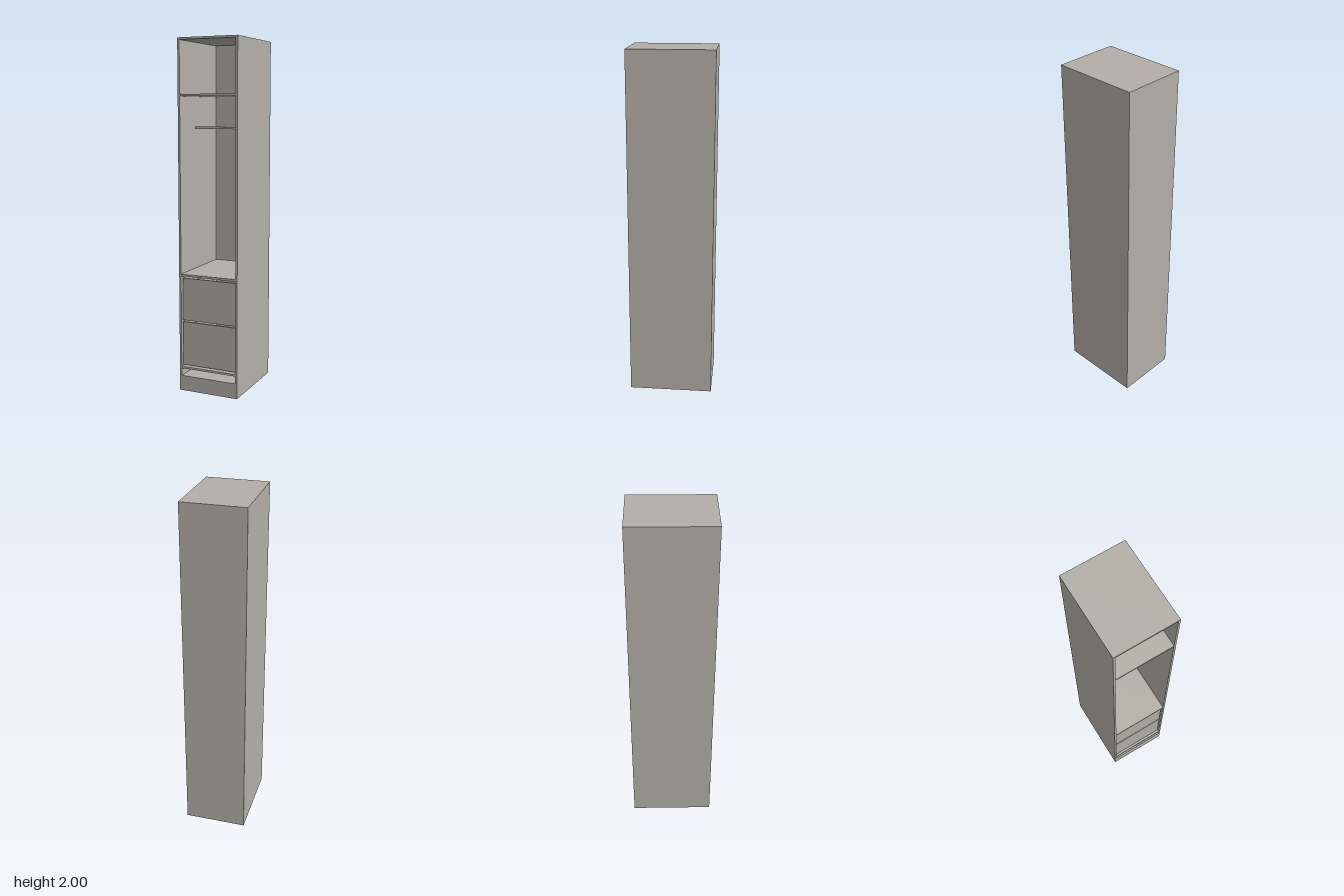
import * as THREE from 'three';

const W = 0.36, H = 2, D = 0.48, T = 0.012; // outer size and board thickness

export function createModel() {
  const group = new THREE.Group();
  const board = new THREE.MeshStandardMaterial({ color: 0xb3afa7 });
  board.name = 'warmGreyBoard';

  const add = (parent, name, geometry, x, y, z) => {
    const mesh = new THREE.Mesh(geometry, board);
    mesh.name = name;
    mesh.position.set(x, y, z);
    parent.add(mesh);
    return mesh;
  };
  const box = (parent, name, w, h, d, x, y, z) =>
    add(parent, name, new THREE.BoxGeometry(w, h, d), x, y, z);

  // Carcass: sides, top, shelves and plinth as one frame with four openings
  const rect = (Type, x0, y0, x1, y1) => new Type([
    new THREE.Vector2(x0, y0), new THREE.Vector2(x1, y0),
    new THREE.Vector2(x1, y1), new THREE.Vector2(x0, y1)]);
  const frame = rect(THREE.Shape, -W / 2, 0, W / 2, H);
  const inner = W / 2 - T;
  for (const [y0, y1] of [[0.088, 0.131], [0.143, 0.674], [0.686, 1.684], [1.696, 1.988]]) {
    frame.holes.push(rect(THREE.Path, -inner, y0, inner, y1));
  }
  add(group, 'carcass',
    new THREE.ExtrudeGeometry(frame, { depth: D - T, bevelEnabled: false }), 0, 0, -D / 2 + T);

  // Back panel
  box(group, 'backPanel', W, H, T, 0, H / 2, -D / 2 + T / 2);

  // Hanging rail
  box(group, 'hangingRail', 0.302, 0.013, 0.013, 0, 1.509, 0.085);

  // Two open-topped drawers with slightly recessed fronts
  const frontZ = D / 2 - 0.012;
  for (const [name, y0, y1] of [['lowerDrawer', 0.151, 0.406], ['upperDrawer', 0.416, 0.661]]) {
    const drawer = new THREE.Group();
    drawer.name = name;
    const h = y1 - y0, bodyH = h - 0.05, depth = 0.41;
    const midZ = frontZ - T - depth / 2, midY = y0 + 0.01 + bodyH / 2;
    box(drawer, 'drawerFront', 0.326, h, T, 0, (y0 + y1) / 2, frontZ - T / 2);
    for (const s of [-1, 1]) {
      box(drawer, 'drawerSide', T, bodyH, depth, s * (0.157 - T / 2), midY, midZ);
    }
    box(drawer, 'drawerBack', 0.29, bodyH, T, 0, midY, midZ - depth / 2 + T / 2);
    box(drawer, 'drawerBase', 0.29, T, depth - T, 0, y0 + 0.01 + T / 2, midZ + T / 2);
    group.add(drawer);
  }

  return group;
}
